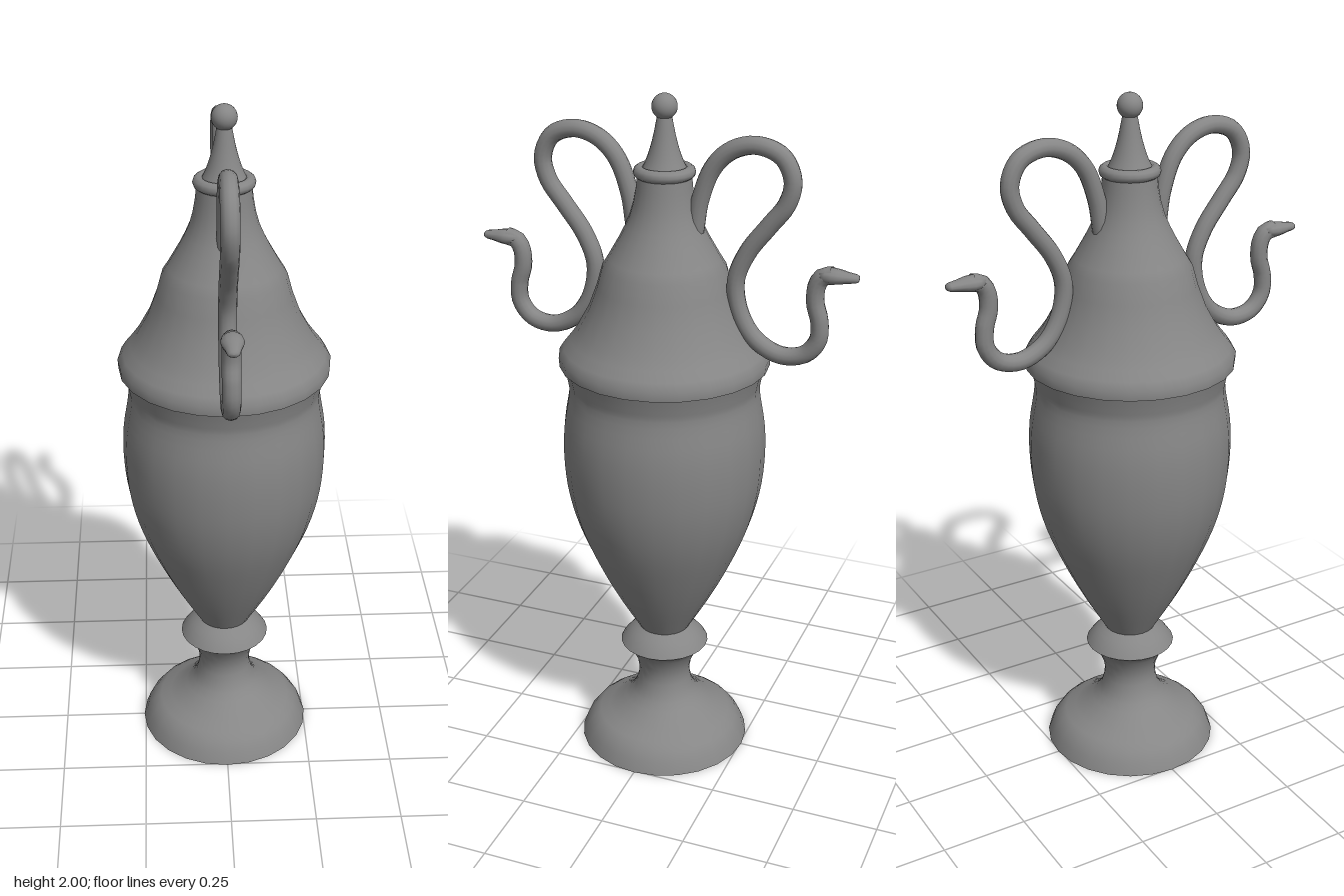
import * as THREE from 'three';

const SIDES = 24;
const material = new THREE.MeshStandardMaterial({ color: 0x868686, side: THREE.DoubleSide });

function addMesh(parent, name, geometry) {
  const mesh = new THREE.Mesh(geometry, material);
  mesh.name = name;
  parent.add(mesh);
  return mesh;
}

// Turned part: [radius, height] pairs from bottom to top, optionally smoothed by a spline
function turned(parent, name, profile, samples = 0) {
  let points = profile.map(([r, y]) => new THREE.Vector2(r, y));
  if (samples) points = new THREE.SplineCurve(points).getPoints(samples);
  return addMesh(parent, name, new THREE.LatheGeometry(points, SIDES));
}

// Serpent handle in the y-z plane, reaching towards +z
function createHandle(name) {
  const handle = new THREE.Group();
  handle.name = name;
  const path = [
    [0.075, 1.57], [0.088, 1.63], [0.102, 1.72], [0.138, 1.814], [0.19, 1.865], [0.26, 1.884],
    [0.329, 1.86], [0.359, 1.798], [0.345, 1.735], [0.297, 1.67], [0.239, 1.591], [0.208, 1.51],
    [0.22, 1.42], [0.266, 1.347], [0.34, 1.31], [0.408, 1.322], [0.444, 1.367],
    [0.446, 1.422], [0.432, 1.475], [0.435, 1.523], [0.45, 1.548], [0.48, 1.556],
  ].map(([z, y]) => new THREE.Vector3(0, y, z));
  addMesh(handle, 'serpentBody',
    new THREE.TubeGeometry(new THREE.CatmullRomCurve3(path), 90, 0.025, 12));

  // Flattened head, narrowing to a blunt snout
  const snout = [[0, 0], [0.022, 0.004], [0.028, 0.02], [0.031, 0.038], [0.028, 0.056],
    [0.021, 0.08], [0.017, 0.1], [0.012, 0.108], [0, 0.11]].map(([r, z]) => new THREE.Vector2(r, z));
  const head = new THREE.LatheGeometry(snout, 12);
  head.rotateX(Math.PI / 2);
  head.scale(1, 0.7, 1);
  head.translate(0, 1.554, 0.44);
  addMesh(handle, 'serpentHead', head);
  return handle;
}

export function createModel() {
  const urn = new THREE.Group();
  urn.name = 'urn';

  // Pedestal
  turned(urn, 'footUnderside', [[0, 0], [0.255, 0]]);
  turned(urn, 'foot', [[0.255, 0], [0.242, 0.035], [0.222, 0.063], [0.2, 0.08], [0.17, 0.093],
    [0.143, 0.112], [0.118, 0.132], [0.1, 0.152], [0.087, 0.175], [0.079, 0.205], [0.077, 0.23],
    [0.082, 0.26], [0.097, 0.295], [0.113, 0.315], [0.132, 0.33]]);
  turned(urn, 'collar', [[0.132, 0.33], [0.118, 0.35], [0.098, 0.37], [0.075, 0.385]], 6);

  // Vase body
  turned(urn, 'body', [[0.075, 0.383], [0.14, 0.495], [0.198, 0.61], [0.25, 0.735], [0.28, 0.85],
    [0.291, 0.96], [0.288, 1.06], [0.272, 1.16], [0.275, 1.2], [0.285, 1.245]], 30);

  // Lid, smooth from the rim to the neck
  turned(urn, 'lidUnderside', [[0.27, 1.243], [0.297, 1.243]]);
  turned(urn, 'lid', [[0.297, 1.243], [0.299, 1.27], [0.285, 1.292], [0.265, 1.317], [0.245, 1.345],
    [0.212, 1.405], [0.188, 1.47], [0.173, 1.525], [0.156, 1.552], [0.14, 1.58], [0.123, 1.61],
    [0.108, 1.64], [0.095, 1.67], [0.085, 1.705], [0.078, 1.745], [0.074, 1.785]]);

  // Finial
  const ring = addMesh(urn, 'finialRing', new THREE.TorusGeometry(0.068, 0.017, 10, SIDES));
  ring.rotation.x = Math.PI / 2;
  ring.position.y = 1.79;
  turned(urn, 'finialSpire', [[0.063, 1.795], [0.047, 1.83], [0.032, 1.88], [0.02, 1.94]], 8);
  const ball = addMesh(urn, 'finialBall', new THREE.SphereGeometry(0.035, SIDES, 14));
  ball.position.y = 1.965;

  // Matching serpents front and back
  const front = createHandle('frontHandle');
  const back = createHandle('backHandle');
  back.rotation.y = Math.PI;
  urn.add(front, back);
  return urn;
}
